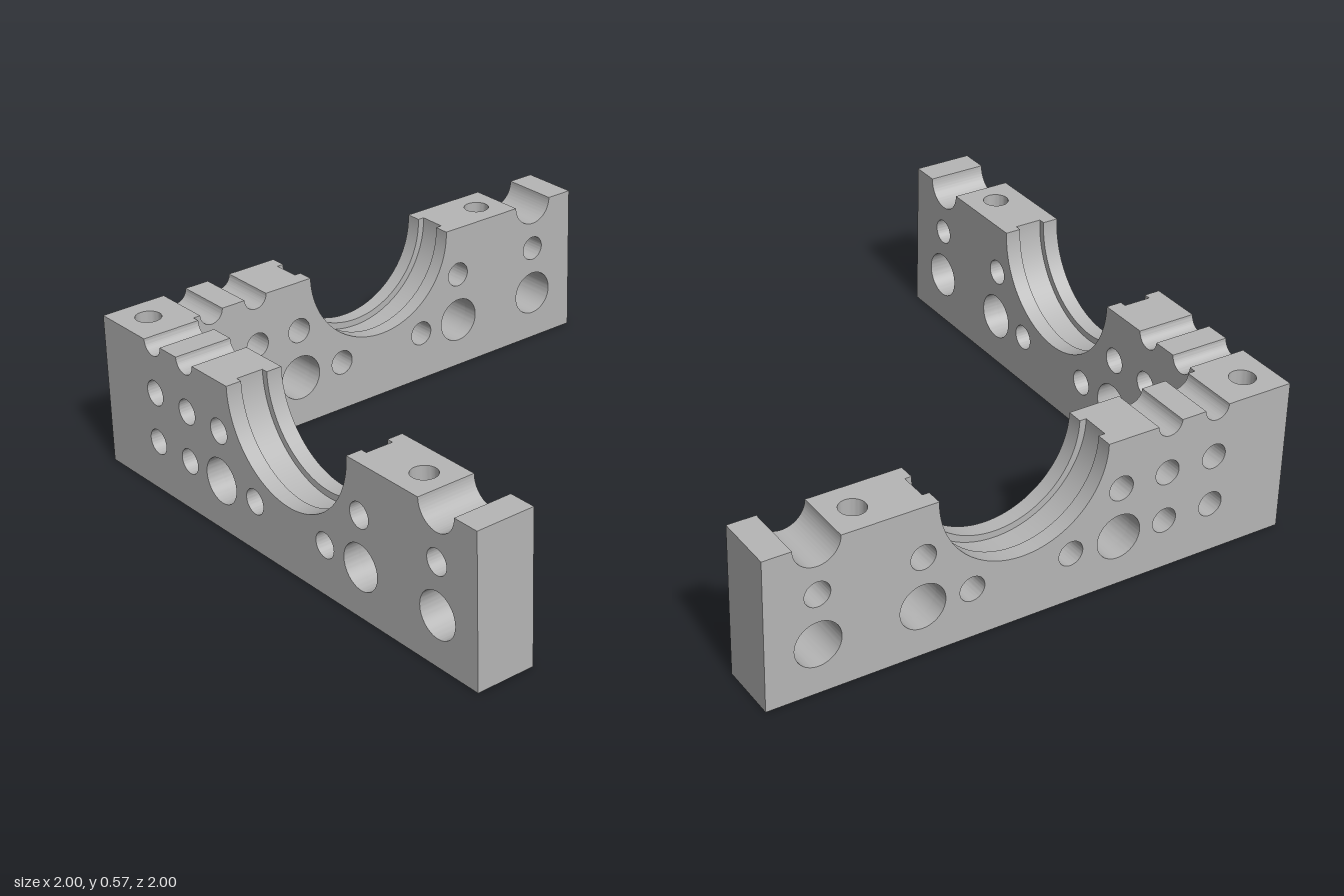
import * as THREE from 'three';
import { toCreasedNormals } from 'three/addons/utils/BufferGeometryUtils.js';

const H = 0.57;           // wall height
const T = 0.225;          // wall thickness
const MID = -1 + T / 2;   // centre line of the back wall
const SMALL = 0.047, LARGE = 0.085;
const BOLT_X = 0.62, BOLT_HALF = 0.07;
const NUT_DEPTH = 0.08, NUT_R = 0.08;

// Through holes: x, y, radius
const HOLES = [
  [-0.7, 0.19, SMALL], [-0.51, 0.19, SMALL], [-0.325, 0.19, LARGE], [-0.135, 0.19, SMALL],
  [0.245, 0.19, SMALL], [0.43, 0.19, LARGE], [0.81, 0.19, LARGE],
  [-0.7, 0.38, SMALL], [-0.51, 0.38, SMALL], [-0.325, 0.38, SMALL],
  [0.43, 0.38, SMALL], [0.81, 0.38, SMALL],
];

const grey = new THREE.MeshStandardMaterial({ color: 0xb6b6b6 });
grey.name = 'grey';

function extrude(shape, depth) {
  return new THREE.ExtrudeGeometry(shape, { depth, bevelEnabled: false, curveSegments: 40 });
}

function add(parent, geometry, name) {
  const mesh = new THREE.Mesh(toCreasedNormals(geometry, 0.5), grey);
  mesh.name = name;
  parent.add(mesh);
}

// Wall slab from x0 to x1, with half-round notches [x, radius] in its top edge
function slab(x0, x1, notches, z0, z1) {
  const s = new THREE.Shape();
  s.moveTo(x0, 0);
  s.lineTo(x1, 0);
  s.lineTo(x1, H);
  for (const [x, r] of notches) {
    s.lineTo(x + r, H);
    s.absarc(x, H, r, 0, Math.PI, true);
  }
  s.lineTo(x0, H);
  s.closePath();
  for (const [x, y, r] of HOLES) {
    if (x > x0 && x < x1) s.holes.push(new THREE.Path().absarc(x, y, r, 0, Math.PI * 2, true));
  }
  return extrude(s, z1 - z0).translate(0, 0, z0);
}

// Upright block with a bolt hole, and a hexagonal nut pocket underneath
function boltBlock(parent, x0, x1, boltX, name) {
  const layers = [[0, NUT_DEPTH, NUT_R, 6, 'NutPocket'], [NUT_DEPTH, H, SMALL, 40, 'BoltHole']];
  for (const [y0, y1, r, sides, suffix] of layers) {
    const s = new THREE.Shape();
    s.moveTo(x0, 1 - T);
    s.lineTo(x1, 1 - T);
    s.lineTo(x1, 1);
    s.lineTo(x0, 1);
    s.closePath();
    const ring = [];
    for (let i = 0; i < sides; i++) {
      const a = -i / sides * Math.PI * 2;
      ring.push(new THREE.Vector2(boltX + r * Math.cos(a), -MID + r * Math.sin(a)));
    }
    s.holes.push(new THREE.Path(ring));
    add(parent, extrude(s, y1 - y0).rotateX(-Math.PI / 2).translate(0, y0, 0), name + suffix);
  }
}

function buildWall(name) {
  const wall = new THREE.Group();
  wall.name = name;
  // Cradle section in three layers; the middle one is cut deeper for the groove
  const cuts = [-1, -0.94, -0.835, -1 + T];
  const radii = [0.32, 0.345, 0.32];
  radii.forEach((r, i) => {
    const notches = [[0.055, r], [-0.51, SMALL], [-0.7, SMALL]];
    add(wall, slab(-1 + T, BOLT_X - BOLT_HALF, notches, cuts[i], cuts[i + 1]),
      i === 1 ? 'cradleGroove' : 'cradleCheek');
  });
  boltBlock(wall, BOLT_X - BOLT_HALF, BOLT_X + BOLT_HALF, BOLT_X, 'middle');
  add(wall, slab(BOLT_X + BOLT_HALF, 1, [[0.81, LARGE]], -1, -1 + T), 'wallEnd');
  return wall;
}

export function createModel() {
  const model = new THREE.Group();
  model.name = 'cornerBracket';
  model.add(buildWall('backWall'));

  // The same wall turned to run along the right side
  const side = buildWall('sideWall');
  side.rotation.y = -Math.PI / 2;
  side.position.x = 2 * MID;
  model.add(side);

  // Shared corner
  const corner = new THREE.Group();
  corner.name = 'cornerBlock';
  boltBlock(corner, -1, -1 + T, MID, 'corner');
  model.add(corner);
  return model;
}
